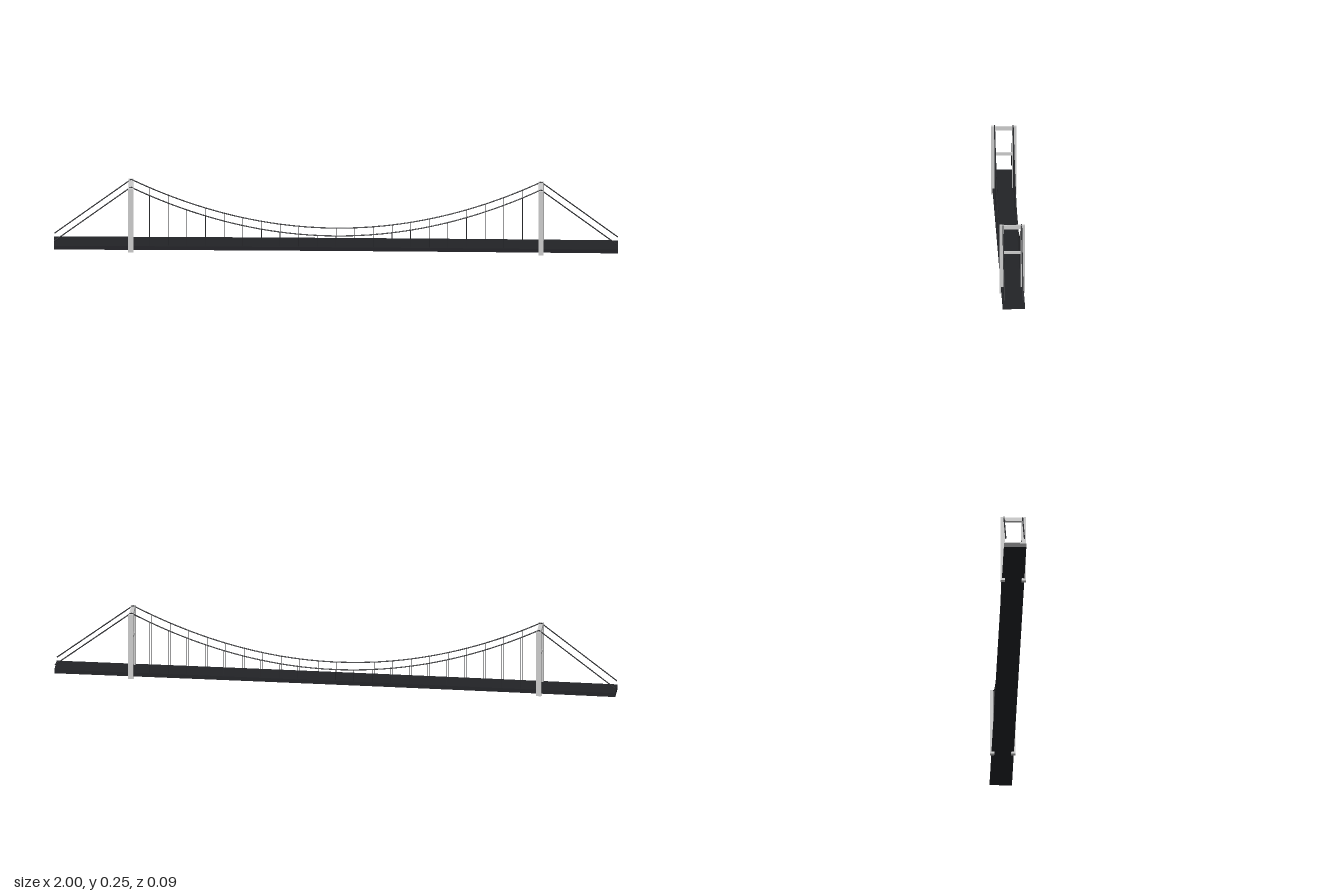
import * as THREE from 'three';

const TOWER_X = 0.727, CABLE_Z = 0.033, TOP_Y = 0.25, SAG_Y = 0.065;
const DECK_TOP = 0.0215, DECK_H = 0.0145, CAMBER = 0.002;
const camber = x => CAMBER * (1 - x * x);
const cableY = x => SAG_Y + (TOP_Y - SAG_Y) * (x / TOWER_X) ** 2;

export function createModel() {
  const model = new THREE.Group();
  const grey = new THREE.MeshStandardMaterial({ color: 0xcccccc });
  const asphalt = new THREE.MeshStandardMaterial({ color: 0x222327 });
  const steel = new THREE.MeshStandardMaterial({ color: 0x28292c });

  const add = (parent, name, geometry, material, x = 0, y = 0, z = 0) => {
    const mesh = new THREE.Mesh(geometry, material);
    mesh.name = name;
    mesh.position.set(x, y, z);
    parent.add(mesh);
  };

  // Deck, arching very slightly towards mid-span
  const deck = new THREE.BoxGeometry(2, DECK_H, 0.079, 48, 1, 1);
  const p = deck.attributes.position;
  for (let i = 0; i < p.count; i++) p.setY(i, p.getY(i) + camber(p.getX(i)));
  deck.computeVertexNormals();
  add(model, 'deck', deck, asphalt, 0, DECK_TOP - DECK_H / 2);

  // Two portal towers
  for (const side of [-1, 1]) {
    const tower = new THREE.Group();
    tower.name = side > 0 ? 'leftTower' : 'rightTower';
    tower.position.x = side * TOWER_X;
    for (const z of [-0.0375, 0.0375])
      add(tower, 'towerLeg', new THREE.BoxGeometry(0.018, 0.247, 0.015), grey, 0, 0.1235, z);
    add(tower, 'upperCrossbeam', new THREE.BoxGeometry(0.014, 0.013, 0.062), grey, 0, 0.2395);
    add(tower, 'lowerCrossbeam', new THREE.BoxGeometry(0.012, 0.009, 0.062), grey, 0, 0.1465);
    model.add(tower);
  }

  // Main cables, straight backstays and vertical hangers on both sides
  for (const z of [-CABLE_Z, CABLE_Z]) {
    const points = [];
    for (let i = 0; i <= 24; i++) {
      const x = TOWER_X * (i / 12 - 1);
      points.push(new THREE.Vector3(x, cableY(x), z));
    }
    const main = new THREE.CatmullRomCurve3(points);
    add(model, 'mainCable', new THREE.TubeGeometry(main, 96, 0.0022, 8), steel);

    for (const side of [-1, 1]) {
      const stay = new THREE.LineCurve3(
        new THREE.Vector3(side * TOWER_X, TOP_Y, z), new THREE.Vector3(side * 0.998, 0.038, z));
      add(model, 'backstay', new THREE.TubeGeometry(stay, 1, 0.0022, 8), steel);
    }

    for (let i = 1; i < 22; i++) {
      const x = TOWER_X * (i / 11 - 1);
      const bottom = DECK_TOP + camber(x) - 0.002, h = cableY(x) - bottom;
      add(model, 'hanger', new THREE.CylinderGeometry(0.0009, 0.0009, h, 6), steel, x, bottom + h / 2, z);
    }
  }
  return model;
}
